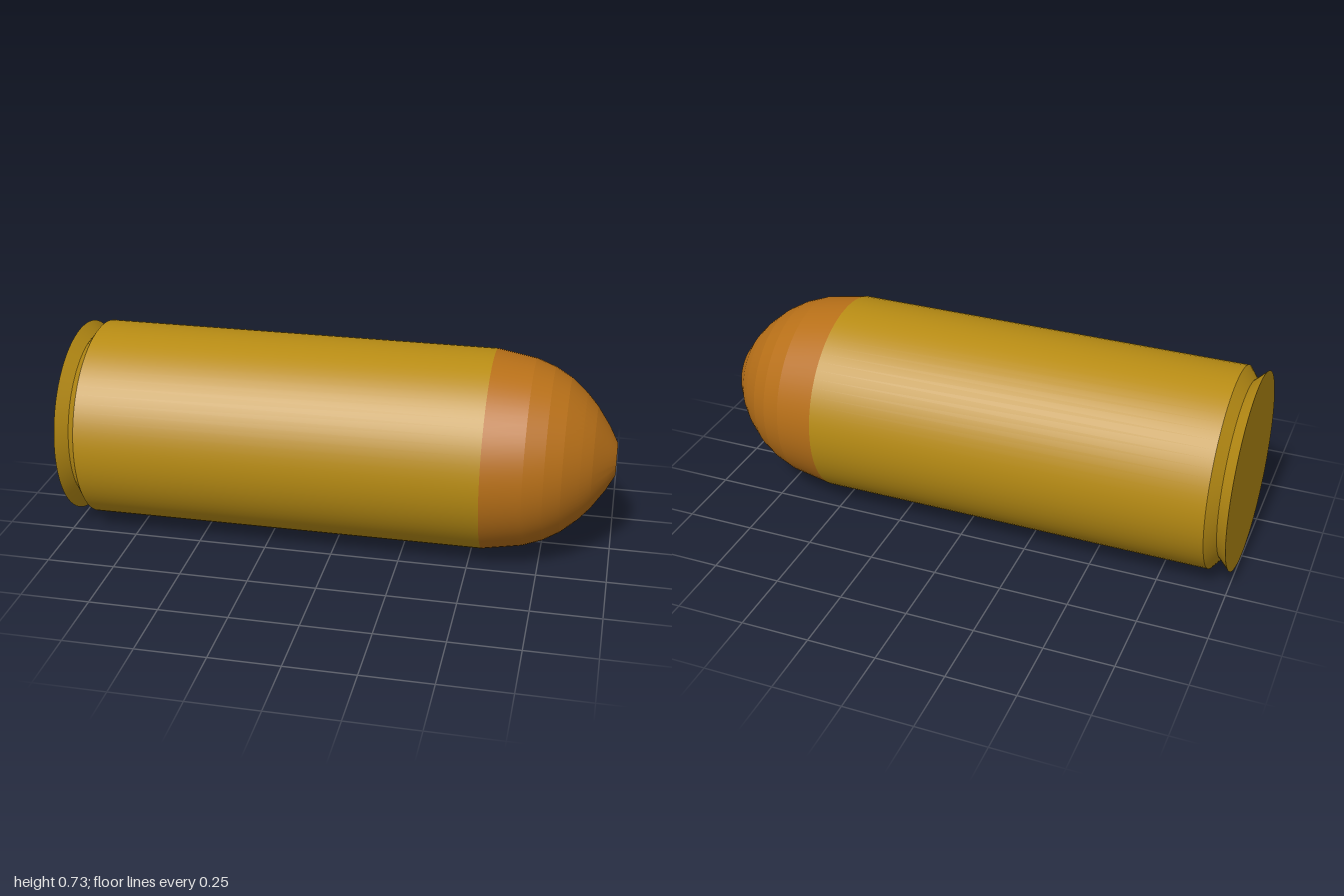
import * as THREE from 'three';
import { toCreasedNormals } from 'three/addons/utils/BufferGeometryUtils.js';

const RADIUS = 0.367;

// Revolve [x, radius] points around the long (x) axis, keeping each band's edges crisp.
function turned(name, profile, color) {
  const points = profile.map(([x, r]) => new THREE.Vector2(r, x));
  const lathe = new THREE.LatheGeometry(points, 72).rotateZ(-Math.PI / 2);
  const mesh = new THREE.Mesh(
    toCreasedNormals(lathe, 0.13),
    new THREE.MeshStandardMaterial({ color })
  );
  mesh.name = name;
  mesh.position.y = RADIUS;
  return mesh;
}

export function createModel() {
  const group = new THREE.Group();
  group.name = 'cartridge';

  // Casing: flat base, flared rim, extractor groove, straight wall
  group.add(turned('casing', [
    [-1, 0], [-1, 0.36], [-0.96, 0.323], [-0.925, RADIUS], [0.545, RADIUS],
  ], 0xb88c14));

  // Rounded nose in flat bands, ending in a small flat tip
  group.add(turned('nose', [
    [0.545, RADIUS], [0.69, 0.342], [0.76, 0.316], [0.82, 0.281], [0.88, 0.23],
    [0.92, 0.186], [0.97, 0.114], [1, 0.058], [1, 0],
  ], 0xb87018));

  return group;
}
